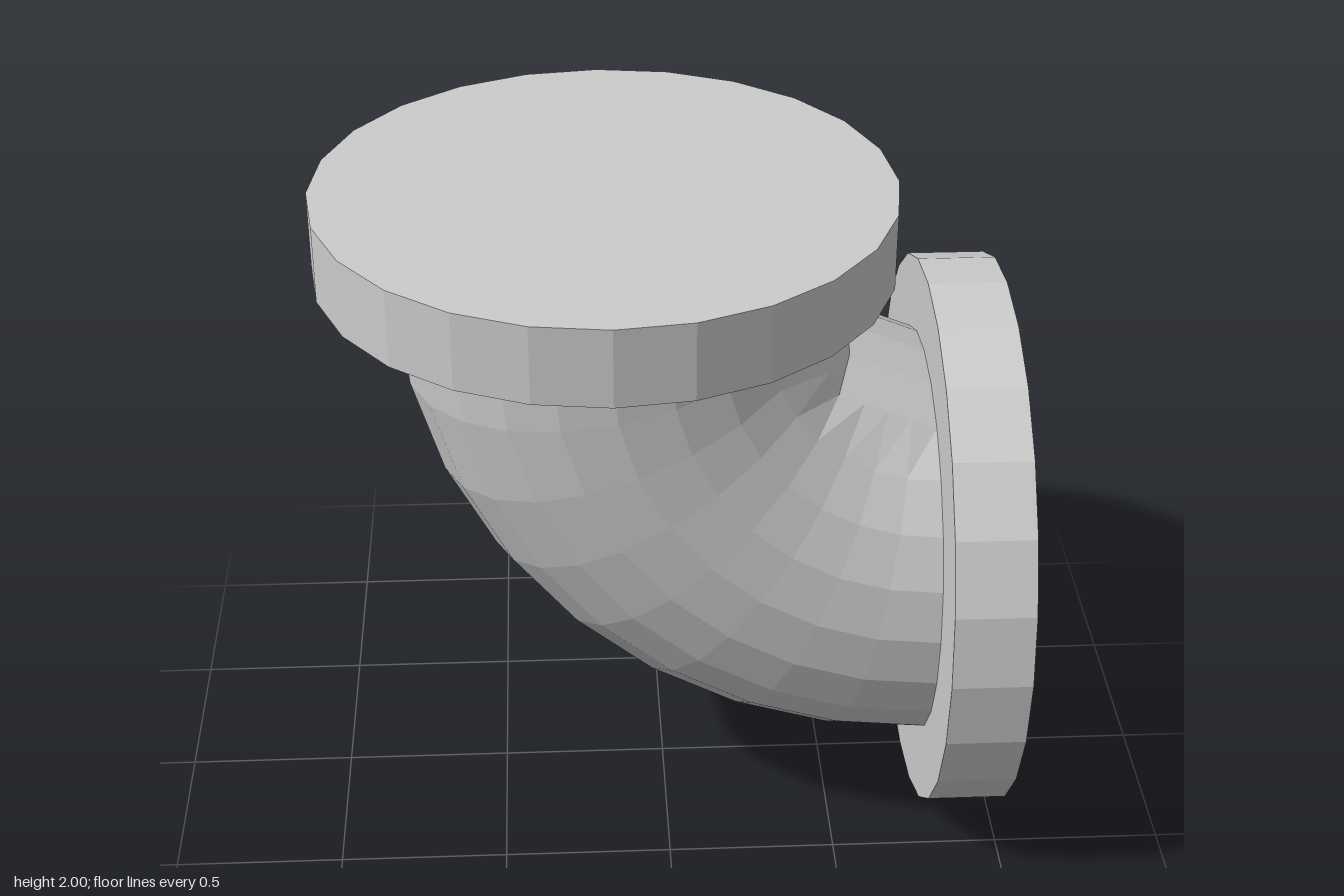
import * as THREE from 'three';

const BEND = 0.77;        // bend centre: x = 0.77, y = 1.77
const BEND_RADIUS = 0.935;
const PIPE_RADIUS = 0.615;
const FLANGE_RADIUS = 0.835;
const FLANGE_DEPTH = 0.23;

export function createModel() {
  const group = new THREE.Group();
  const material = new THREE.MeshStandardMaterial({ color: 0xcccccc, flatShading: true });

  // Quarter-turn pipe, faceted
  const bend = new THREE.TorusGeometry(BEND_RADIUS, PIPE_RADIUS, 24, 8, Math.PI / 2);
  const pos = bend.attributes.position;
  for (let i = 0; i < pos.count; i++) {
    const x = pos.getX(i), y = pos.getY(i);
    if (Math.hypot(x, y) > 0.42) continue;
    // The tight inside of the bend has only two straight steps
    const a = Math.atan2(y, x) % (Math.PI / 4);
    const k = Math.cos(Math.PI / 8) / Math.cos(a - Math.PI / 8);
    pos.setXY(i, x * k, y * k);
  }
  bend.rotateZ(Math.PI);
  bend.translate(BEND, BEND + 1, 0);
  bend.computeVertexNormals();
  const elbow = new THREE.Mesh(bend, material);
  elbow.name = 'elbowPipe';
  group.add(elbow);

  // Solid flanges closing both ends
  const disc = new THREE.CylinderGeometry(FLANGE_RADIUS, FLANGE_RADIUS, FLANGE_DEPTH, 24);
  const topFlange = new THREE.Mesh(disc, material);
  topFlange.name = 'topFlange';
  topFlange.position.set(-0.165, 2 - FLANGE_DEPTH / 2, 0);

  const sideFlange = new THREE.Mesh(disc, material);
  sideFlange.name = 'sideFlange';
  sideFlange.rotation.z = -Math.PI / 2;
  sideFlange.position.set(1 - FLANGE_DEPTH / 2, FLANGE_RADIUS, 0);

  group.add(topFlange, sideFlange);
  return group;
}
